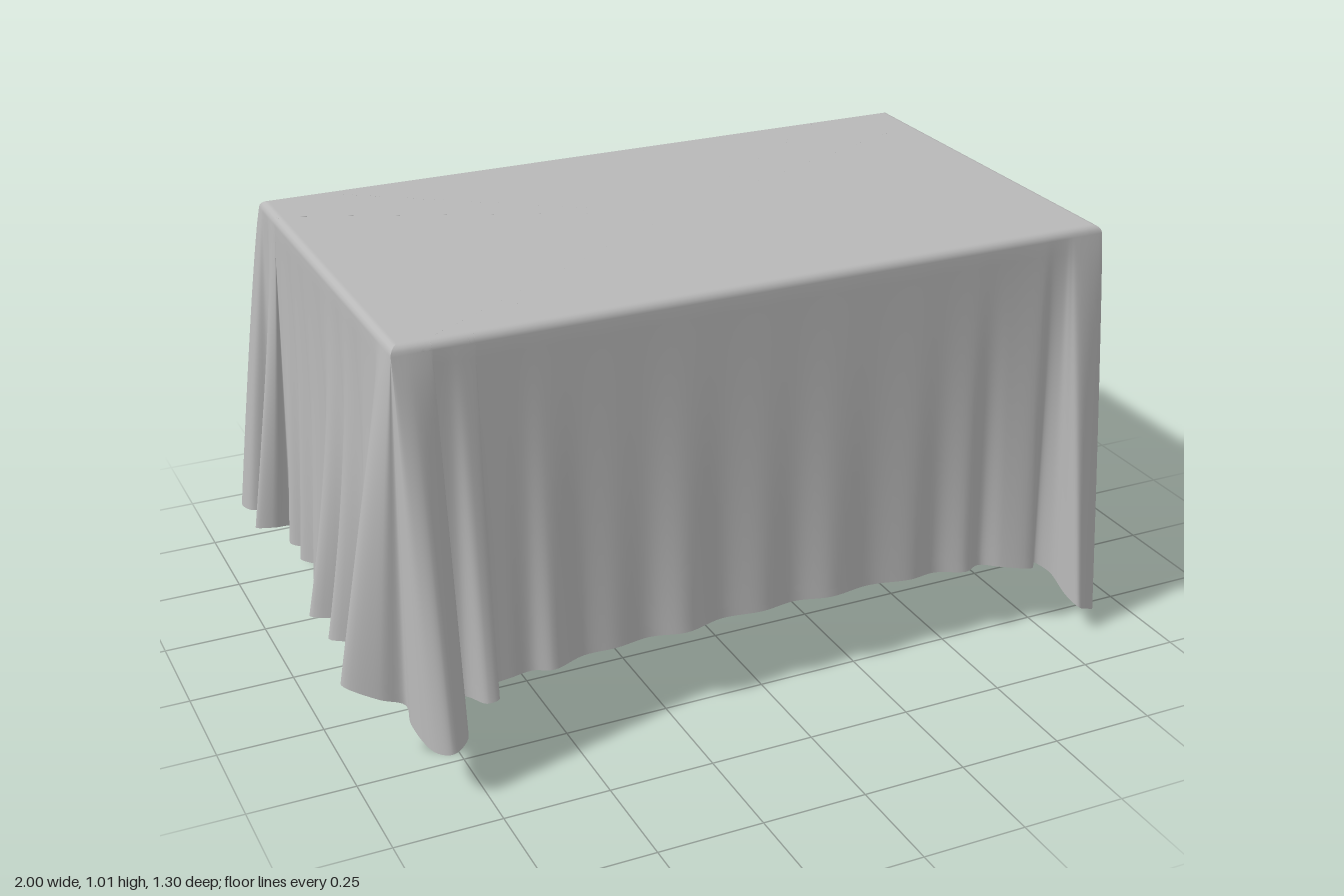
import * as THREE from 'three';

// Table edge, top height and rounding of the rim
const X0 = -0.86, X1 = 0.89, Z0 = -0.53, Z1 = 0.48, TOP = 1.015, RIM = 0.02;

// Hem points around each corner: [x, z, y]
const frontLeft = [
  [-0.92, 0.37, 0.18], [-0.985, 0.405, 0.22], [-1, 0.43, 0.22], [-0.93, 0.475, 0.19], [-0.875, 0.49, 0.17],
  [-0.88, 0.54, 0.15], [-0.855, 0.62, 0.12], [-0.82, 0.645, 0.12], [-0.77, 0.6, 0.13], [-0.8, 0.55, 0.15],
  [-0.8, 0.495, 0.16], [-0.74, 0.495, 0.16], [-0.705, 0.545, 0.16], [-0.675, 0.545, 0.165], [-0.69, 0.5, 0.17],
];
const frontRight = [
  [0.73, 0.53, 0.16], [0.76, 0.49, 0.15], [0.79, 0.52, 0.13], [0.805, 0.57, 0.09], [0.82, 0.61, 0.07],
  [0.855, 0.595, 0.05], [0.93, 0.52, 0], [0.965, 0.42, 0.02], [0.955, 0.385, 0.03], [0.92, 0.4, 0.06],
  [0.9, 0.36, 0.07],
];
const backRight = [
  [0.93, -0.38, 0.1], [0.995, -0.39, 0.1], [0.995, -0.41, 0.1], [0.92, -0.42, 0.1], [0.9, -0.46, 0.09],
  [0.95, -0.475, 0.08], [0.975, -0.5, 0.07], [0.95, -0.53, 0.04], [0.9, -0.54, 0.05], [0.915, -0.59, 0.11],
  [0.88, -0.605, 0.11], [0.84, -0.57, 0.08], [0.82, -0.54, 0.06], [0.77, -0.58, 0.1], [0.75, -0.54, 0.12],
  [0.72, -0.56, 0.14], [0.7, -0.61, 0.15], [0.66, -0.62, 0.16], [0.655, -0.58, 0.17], [0.67, -0.54, 0.17],
];
const backLeft = [
  [-0.66, -0.54, 0.22], [-0.71, -0.56, 0.23], [-0.7, -0.61, 0.24], [-0.74, -0.65, 0.25], [-0.78, -0.63, 0.24],
  [-0.79, -0.57, 0.22], [-0.81, -0.54, 0.2], [-0.86, -0.55, 0.2], [-0.9, -0.58, 0.2], [-0.96, -0.56, 0.2],
  [-0.95, -0.51, 0.2], [-0.89, -0.49, 0.2], [-0.88, -0.46, 0.2], [-0.93, -0.44, 0.2], [-0.965, -0.41, 0.2],
  [-0.92, -0.39, 0.2], [-0.875, -0.4, 0.19],
];

// Ridges along a straight side, given as [position, reach], with a valley after each one
function sideFolds(ridges, place, hem) {
  return ridges.flatMap(([p, reach], i) => {
    const next = ridges[i + 1];
    const points = [[...place(p, reach), hem(p)]];
    if (next) points.push([...place((p + next[0]) / 2, 0.008), hem((p + next[0]) / 2)]);
    return points;
  });
}

const front = sideFolds(
  [[-0.62, 0.01], [-0.53, 0.03], [-0.37, 0.015], [-0.2, 0.03], [0, 0.02], [0.18, 0.025], [0.4, 0.02],
    [0.55, 0.03], [0.65, 0.035]],
  (p, r) => [p, Z1 + r], p => 0.2 - 0.06 * p * p);
const right = sideFolds(
  [[0.25, 0.085], [0.13, 0.065], [-0.02, 0.03], [-0.18, 0.075], [-0.3, 0.04]],
  (p, r) => [X1 + r, p], p => 0.115 - 0.15 * p * p);
const back = sideFolds(
  [[0.58, 0.05], [0.46, 0.035], [0.3, 0.02], [0.1, 0.015], [-0.2, 0.02], [-0.38, 0.02], [-0.5, 0.02], [-0.6, 0.065]],
  (p, r) => [p, Z0 - r], p => 0.21 - 0.03 * p);
const left = sideFolds(
  [[-0.33, 0.04], [-0.24, 0.04], [-0.13, 0.04], [0.04, 0.1], [0.16, 0.09], [0.29, 0.06]],
  (p, r) => [X0 - r, p], () => 0.18);

const clamp = THREE.MathUtils.clamp;

// Nearest point on the table edge, with the hem kept outside it
function anchorOf(hem) {
  const ax = clamp(hem.x, X0, X1), az = clamp(hem.z, Z0, Z1);
  if (ax === hem.x && az === hem.z) {
    const gaps = [ax - X0, X1 - ax, az - Z0, Z1 - az];
    const side = gaps.indexOf(Math.min(...gaps));
    if (side < 2) hem.x = side ? X1 : X0;
    else hem.z = side === 3 ? Z1 : Z0;
    return [hem.x, hem.z];
  }
  return [ax, az];
}

// One closed sheet made of rings: centre, rounded rim, then the hanging folds
function clothGeometry() {
  const points = [...frontLeft, ...front, ...frontRight, ...right, ...backRight, ...back, ...backLeft, ...left];
  const hemLine = new THREE.CatmullRomCurve3(
    points.map(([x, z, y]) => new THREE.Vector3(x, y, z)), true, 'centripetal');
  const n = points.length * 6, rimSteps = 4, dropSteps = 24;
  const rings = 2 + rimSteps + dropSteps;
  const position = [], index = [];

  for (let i = 0; i < n; i++) {
    const hem = hemLine.getPoint(i / n);
    hem.y = Math.max(hem.y, 0);
    const [ax, az] = anchorOf(hem);
    const ix = clamp(ax, X0 + RIM, X1 - RIM), iz = clamp(az, Z0 + RIM, Z1 - RIM);
    position.push((X0 + X1) / 2, TOP, (Z0 + Z1) / 2);
    for (let k = 0; k <= rimSteps; k++) {
      const a = k / rimSteps * Math.PI / 2;
      position.push(ix + (ax - ix) * Math.sin(a), TOP - RIM * (1 - Math.cos(a)), iz + (az - iz) * Math.sin(a));
    }
    // Corner folds flare from the top, side folds only open lower down
    const toCorner = Math.min(ax - X0, X1 - ax) + Math.min(az - Z0, Z1 - az);
    const power = 0.88 + 0.7 * THREE.MathUtils.smoothstep(toCorner, 0, 0.3);
    for (let k = 1; k <= dropSteps; k++) {
      const t = k / dropSteps, f = Math.pow(t, power);
      position.push(ax + (hem.x - ax) * f, TOP - RIM + (hem.y - TOP + RIM) * t, az + (hem.z - az) * f);
    }
  }
  for (let i = 0; i < n; i++) {
    const a = i * rings, b = ((i + 1) % n) * rings;
    for (let k = 0; k < rings - 1; k++) {
      index.push(a + k, a + k + 1, b + k + 1);
      if (k > 0) index.push(a + k, b + k + 1, b + k);
    }
  }
  const geometry = new THREE.BufferGeometry();
  geometry.setAttribute('position', new THREE.Float32BufferAttribute(position, 3));
  geometry.setIndex(index);
  geometry.computeVertexNormals();
  return geometry;
}

export function createModel() {
  const model = new THREE.Group();
  model.name = 'drapedTablecloth';
  const fabric = new THREE.MeshStandardMaterial({ color: 0xb8b8b8, side: THREE.DoubleSide });
  fabric.name = 'greyFabric';
  const cloth = new THREE.Mesh(clothGeometry(), fabric);
  cloth.name = 'tablecloth';
  model.add(cloth);
  return model;
}
